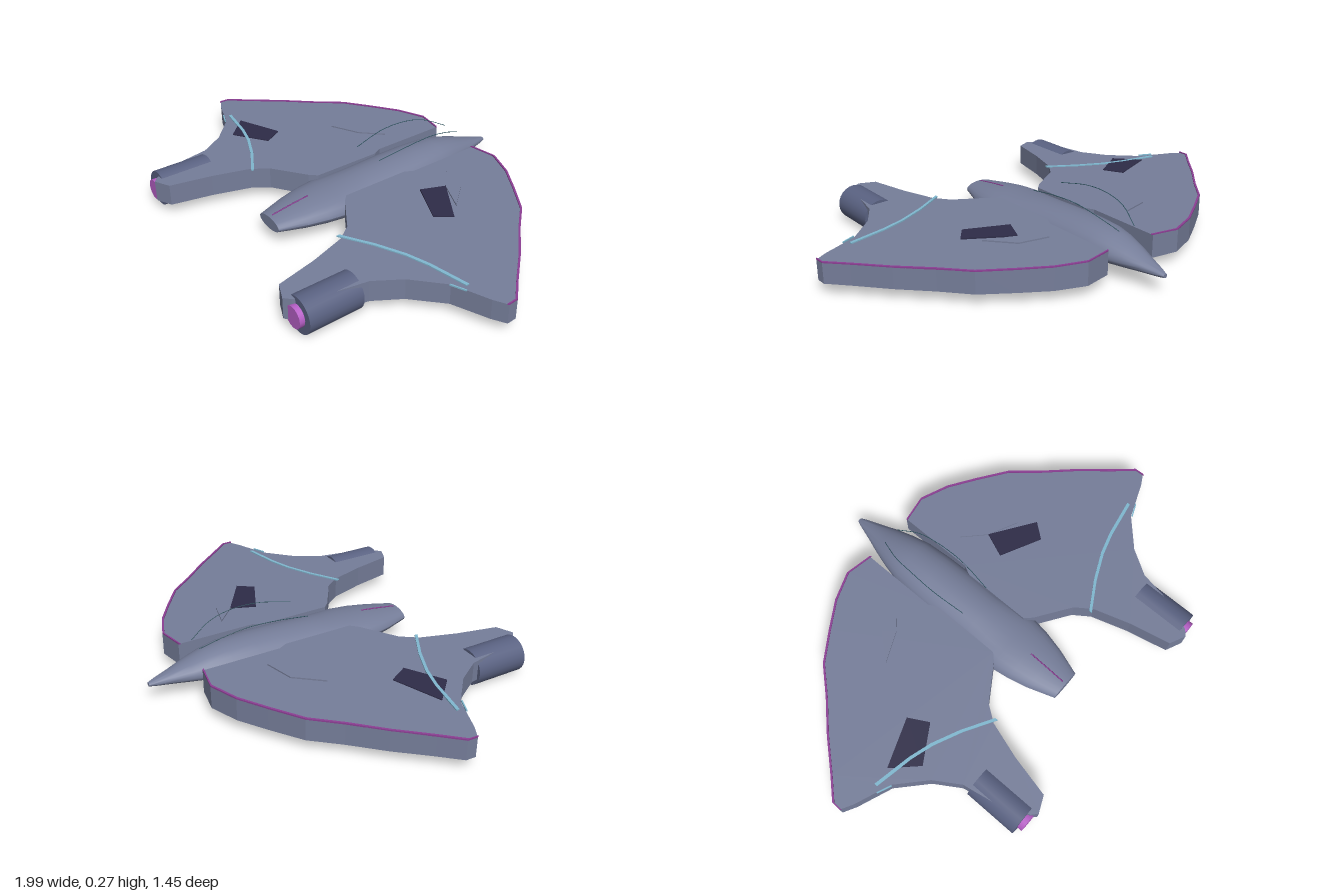
import * as THREE from 'three';
import { toCreasedNormals } from 'three/addons/utils/BufferGeometryUtils.js';

const makeMaterial = (name, color, side = THREE.FrontSide) => {
  const m = new THREE.MeshStandardMaterial({ color, side });
  m.name = name;
  return m;
};

export function createModel() {
  const model = new THREE.Group();
  model.name = 'spacecraft';
  const hull = makeMaterial('hullGrey', 0x767e9a);
  const engineGrey = makeMaterial('engineGrey', 0x5a6282);
  const dark = makeMaterial('darkPanel', 0x2e2c48);
  const cyan = makeMaterial('cyanStripe', 0x80b8d0);
  const magenta = makeMaterial('magentaTrim', 0x8c3f94);
  const glow = makeMaterial('engineGlow', 0xb860c8);
  const teal = makeMaterial('tealLine', 0x2c5560);

  const add = (name, geometry, material) => {
    const mesh = new THREE.Mesh(geometry, material);
    mesh.name = name;
    model.add(mesh);
    return mesh;
  };

  // wing top falls slightly toward the tips
  const wingTop = (x) => 0.151 - 0.016 * Math.abs(x);

  // slab from an x/z outline; its top follows the wing surface
  const slab = (points, bottom, lift = 0) => {
    const shape = new THREE.Shape(points.map(([x, z]) => new THREE.Vector2(x, z)));
    const g = new THREE.ExtrudeGeometry(shape, { depth: 1, bevelEnabled: false });
    g.rotateX(Math.PI / 2);
    const p = g.attributes.position;
    for (let i = 0; i < p.count; i++) {
      const top = wingTop(p.getX(i)) + lift;
      p.setY(i, p.getY(i) > -0.5 ? top : (bottom ?? top - 0.006));
    }
    g.computeVertexNormals();
    return g;
  };

  const tube = (points, radius) => new THREE.TubeGeometry(
    new THREE.CatmullRomCurve3(points.map((p) => new THREE.Vector3(...p))), 32, radius, 5);

  // raised ribbon following a polyline over the wing
  const ribbon = (points, width) => {
    const offset = (s) => points.map(([x, z]) => [x, z + s * width / 2]);
    return slab([...offset(1), ...offset(-1).reverse()], undefined, 0.005);
  };

  // fuselage lofted from sections: z, half width, bottom, top
  const sections = [
    [-0.73, 0.010, 0.070, 0.086], [-0.70, 0.022, 0.066, 0.096], [-0.63, 0.045, 0.060, 0.115],
    [-0.56, 0.070, 0.055, 0.138], [-0.48, 0.094, 0.050, 0.162], [-0.40, 0.112, 0.047, 0.175],
    [-0.28, 0.121, 0.045, 0.177], [-0.15, 0.124, 0.044, 0.173], [0.00, 0.123, 0.041, 0.165],
    [0.08, 0.132, 0.037, 0.157], [0.18, 0.144, 0.035, 0.150], [0.26, 0.132, 0.040, 0.146],
    [0.35, 0.110, 0.048, 0.135], [0.465, 0.070, 0.062, 0.118],
  ];
  const sides = 24;
  const verts = [];
  const index = [];
  sections.forEach(([z, w, lo, hi], s) => {
    for (let k = 0; k < sides; k++) {
      const a = (k / sides) * Math.PI * 2;
      const mid = Math.min(0.09, (lo + hi) / 2);
      const h = Math.sin(a) > 0 ? hi - mid : mid - lo;
      verts.push(w * Math.cos(a), mid + h * Math.sin(a), z);
      if (s > 0) {
        const n = (k + 1) % sides;
        const b = s * sides;
        const c = b - sides;
        index.push(c + k, c + n, b + k, c + n, b + n, b + k);
      }
    }
  });
  const last = (sections.length - 1) * sides;
  for (let k = 1; k < sides - 1; k++) {
    index.push(0, k + 1, k, last, last + k, last + k + 1);
  }
  const body = new THREE.BufferGeometry();
  body.setAttribute('position', new THREE.Float32BufferAttribute(verts, 3));
  body.setIndex(index);
  add('fuselage', toCreasedNormals(body, 0.6), hull);

  // centre line on the front deck
  add('deckStripe', tube([[0, 0.145, 0.275], [0, 0.136, 0.35], [0, 0.121, 0.45]], 0.003), magenta);

  const leadingEdge = [
    [0.12, -0.545], [0.24, -0.567], [0.364, -0.519], [0.48, -0.445], [0.604, -0.36],
    [0.70, -0.25], [0.813, -0.134], [0.92, -0.01], [0.993, 0.07], [0.995, 0.112],
  ];
  const trailingEdge = [
    [0.94, 0.142], [0.79, 0.20], [0.67, 0.31], [0.60, 0.42], [0.57, 0.58], [0.515, 0.70],
    [0.49, 0.722], [0.42, 0.69], [0.38, 0.51], [0.33, 0.35], [0.28, 0.28], [0.13, 0.18],
    [0.10, 0.15], [0.10, -0.16], [0.12, -0.20],
  ];

  for (const s of [1, -1]) {
    const side = s > 0 ? 'left' : 'right';
    const flip = (pts) => pts.map(([x, ...rest]) => [s * x, ...rest]);

    add(side + 'Wing', slab(flip([...leadingEdge, ...trailingEdge]), 0.05), hull);

    // thin trim along the leading edge, inset from the rim
    const rim = leadingEdge;
    const inner = rim.map(([x, z]) => [x - 0.005, z + 0.007]).reverse();
    add(side + 'EdgeTrim', slab(flip([...rim, ...inner]), undefined, 0.005), magenta);

    // stripes near the trailing edge
    add(side + 'Stripe', ribbon(flip([[0.31, 0.348], [0.44, 0.272], [0.56, 0.217],
      [0.66, 0.187], [0.83, 0.155]]), 0.014), cyan);
    add(side + 'TipStripe', ribbon(flip([[0.79, 0.205], [0.85, 0.18]]), 0.006), cyan);

    // diamond plate
    add(side + 'DiamondPlate', slab(flip([[0.21, -0.305], [0.337, -0.273], [0.43, -0.16],
      [0.30, -0.22]]), undefined, 0.006), hull);

    // engine with glowing exhaust
    const engine = new THREE.CylinderGeometry(0.077, 0.077, 0.238, 24).rotateX(Math.PI / 2);
    add(side + 'Engine', engine, engineGrey).position.set(s * 0.533, 0.078, 0.569);
    const exhaust = new THREE.CylinderGeometry(0.046, 0.046, 0.05, 16).rotateX(Math.PI / 2);
    add(side + 'Exhaust', exhaust, glow).position.set(s * 0.533, 0.078, 0.685);

    // fine arched line above the spine
    add(side + 'SpineLine', tube(flip([[0.04, 0.20, -0.52], [0.075, 0.245, -0.42],
      [0.087, 0.265, -0.32], [0.091, 0.262, -0.19], [0.075, 0.235, -0.04]]), 0.0015), teal);
  }

  // asymmetrical dark patches
  add('leftPatch', slab([[0.30, -0.22], [0.487, -0.096], [0.435, -0.03], [0.257, -0.115]],
    undefined, 0.008), dark);
  add('rightPatch', slab([[-0.545, 0.064], [-0.497, 0.15], [-0.65, 0.246], [-0.75, 0.144]],
    undefined, 0.004), dark);

  return model;
}
